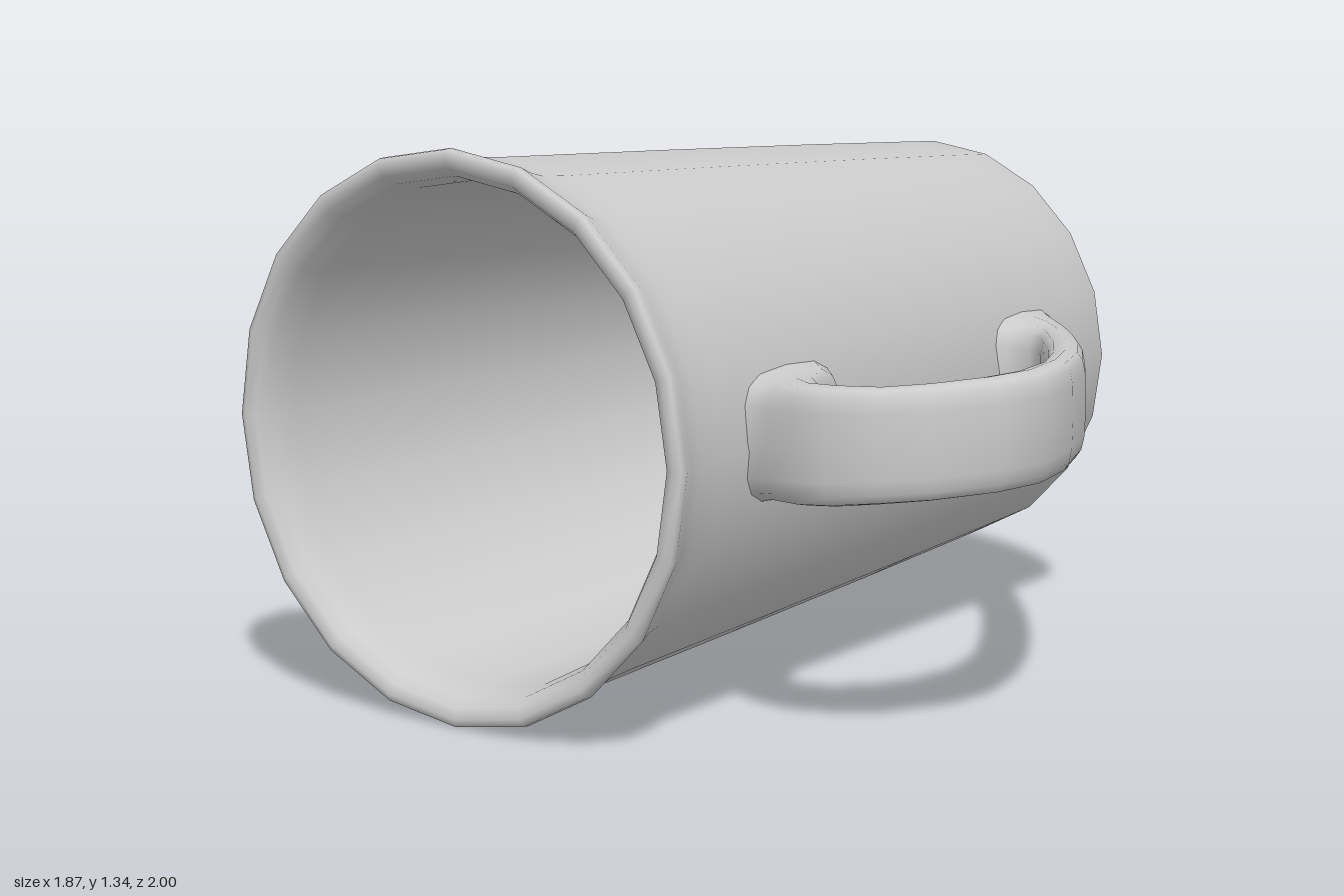
import * as THREE from 'three';

const material = new THREE.MeshStandardMaterial({ color: 0xcccccc });

// Tapered cup lying on its side, mouth towards +z: one closed lathe profile [radius, z]
function createCup() {
  const profile = [
    [0, -0.94], [0.3, -0.945], [0.44, -0.955], [0.485, -0.975], [0.5, -0.99],  // dished base
    [0.525, -0.99], [0.537, -0.975], [0.545, -0.85], [0.572, -0.4],            // outer wall
    [0.605, 0.2], [0.636, 0.8], [0.642, 0.88],
    [0.655, 0.93], [0.67, 0.965], [0.668, 0.982], [0.65, 0.99],                // flared lip
    [0.625, 0.98], [0.605, 0.95], [0.59, 0.88],
    [0.555, 0.2], [0.515, -0.5], [0.495, -0.78], [0.475, -0.84],               // inner wall
    [0.44, -0.868], [0.3, -0.875], [0, -0.875],                                // floor
  ].map(([r, z]) => new THREE.Vector2(r, z));

  const geometry = new THREE.LatheGeometry(profile, 20);
  geometry.rotateX(Math.PI / 2);
  // Slight lean of the axis and of the end planes
  const p = geometry.attributes.position;
  for (let i = 0; i < p.count; i++) {
    const x = p.getX(i), y = p.getY(i), z = p.getZ(i);
    p.setXYZ(i, x - 0.26 - 0.015 * z, y + 0.683 - 0.006 * z, z + 0.013 * x);
  }
  const cup = new THREE.Mesh(geometry, material);
  cup.name = 'cup';
  return cup;
}

// Strap handle: rounded-rectangle sections spanning outer and inner edge points
function createHandle() {
  // outer x, outer z, inner x, inner z, half width
  const sections = [
    [0.26, -0.78, 0.26, -0.39, 0.16], [0.31, -0.71, 0.325, -0.435, 0.145],
    [0.36, -0.65, 0.39, -0.44, 0.135], [0.45, -0.545, 0.44, -0.4, 0.13],
    [0.57, -0.39, 0.5, -0.31, 0.13], [0.68, -0.23, 0.6, -0.17, 0.13],
    [0.8, -0.03, 0.72, 0.03, 0.13], [0.885, 0.17, 0.805, 0.2, 0.13],
    [0.93, 0.35, 0.825, 0.34, 0.13], [0.91, 0.5, 0.81, 0.47, 0.13],
    [0.82, 0.65, 0.76, 0.575, 0.13], [0.72, 0.725, 0.69, 0.635, 0.13],
    [0.6, 0.755, 0.6, 0.65, 0.135], [0.5, 0.74, 0.52, 0.63, 0.138],
    [0.42, 0.715, 0.44, 0.52, 0.14], [0.365, 0.7, 0.385, 0.375, 0.145],
    [0.3, 0.7, 0.31, 0.29, 0.16],
  ];
  const sides = 16;
  const soft = (v) => Math.sign(v) * Math.pow(Math.abs(v), 0.6);
  const positions = [], indices = [];
  sections.forEach(([ox, oz, ix, iz, half], s) => {
    const cx = (ox + ix) / 2, cz = (oz + iz) / 2;
    const cy = 0.693 + 0.045 * THREE.MathUtils.clamp((cx - 0.3) / 0.55, 0, 1);
    for (let k = 0; k < sides; k++) {
      const a = (k / sides) * Math.PI * 2;
      const u = soft(Math.cos(a)) / 2;
      positions.push(cx + (ox - ix) * u, cy + half * soft(Math.sin(a)), cz + (oz - iz) * u);
      if (s < sections.length - 1) {
        const n = (k + 1) % sides, b = s * sides, t = b + sides;
        indices.push(b + k, b + n, t + k, b + n, t + n, t + k);
      }
    }
  });
  const geometry = new THREE.BufferGeometry();
  geometry.setAttribute('position', new THREE.Float32BufferAttribute(positions, 3));
  geometry.setIndex(indices);
  geometry.computeVertexNormals();
  const handle = new THREE.Mesh(geometry, material);
  handle.name = 'handle';
  return handle;
}

export function createModel() {
  const mug = new THREE.Group();
  mug.name = 'mug';
  mug.add(createCup(), createHandle());
  return mug;
}
